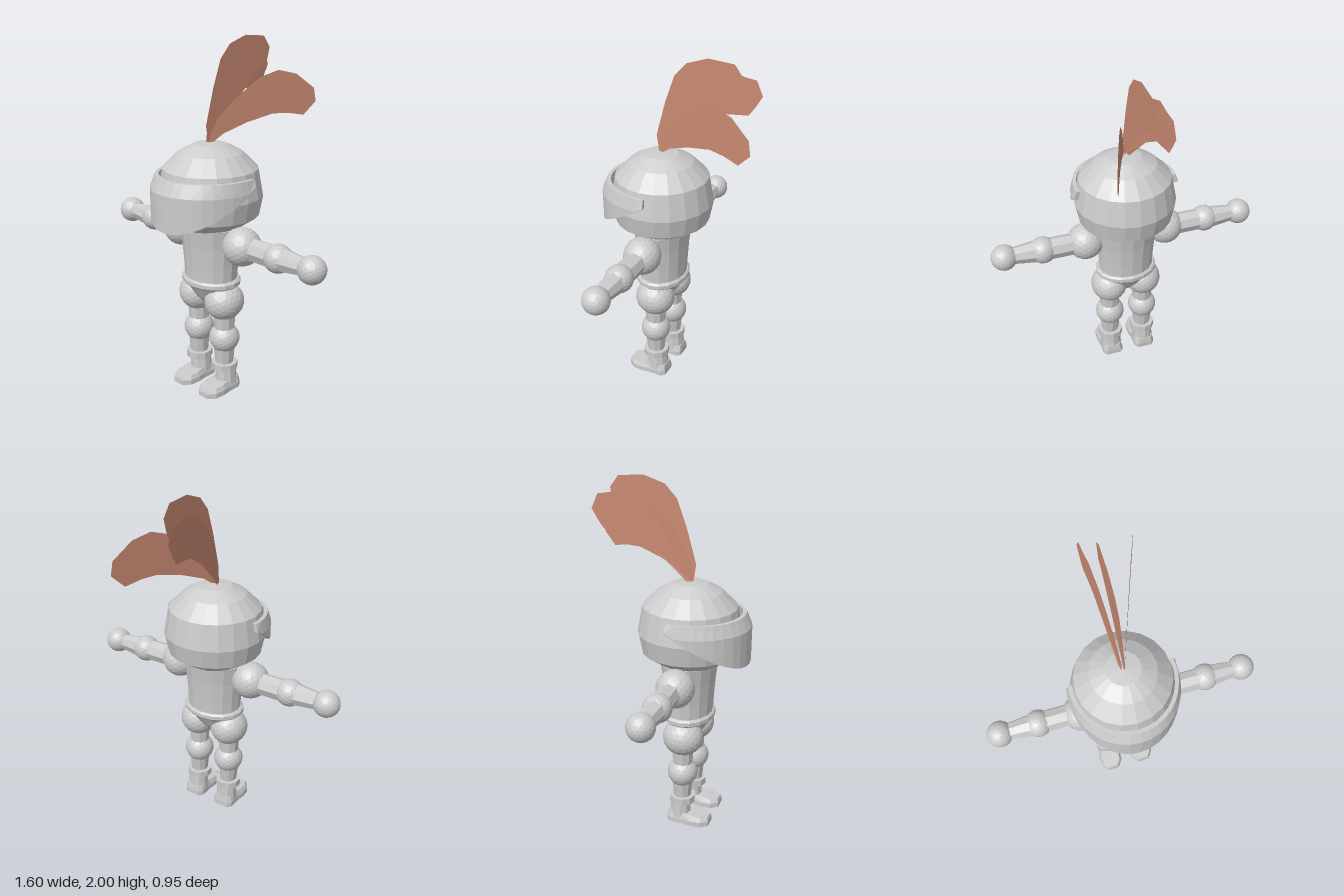
import * as THREE from 'three';

const steel = new THREE.MeshStandardMaterial({ color: 0xcccccc, flatShading: true });
const plumeMat = new THREE.MeshStandardMaterial({ color: 0xc98a72, flatShading: true, side: THREE.DoubleSide });
const CZ = 0.13; // body axis in z

export function createModel() {
  const model = new THREE.Group();

  const add = (name, geo, x = 0, y = 0, z = CZ, mat = steel) => {
    const mesh = new THREE.Mesh(geo, mat);
    mesh.name = name;
    mesh.position.set(x, y, z);
    model.add(mesh);
    return mesh;
  };
  const lathe = (pts, seg) => new THREE.LatheGeometry(pts.map(p => new THREE.Vector2(...p)), seg);
  const ball = (name, r, x, y, z = CZ) => add(name, new THREE.IcosahedronGeometry(r, 3), x, y, z);
  // upright tapered limb from y0 up to y1
  const limb = (name, r0, r1, y0, y1, x, z = CZ, seg = 10) =>
    add(name, new THREE.CylinderGeometry(r1, r0, y1 - y0, seg), x, (y0 + y1) / 2, z);

  // Helmet
  add('helmet', lathe([[0, 0.975], [0.165, 0.98], [0.27, 1.05], [0.292, 1.16], [0.265, 1.31],
    [0.18, 1.395], [0.095, 1.44], [0, 1.45]], 20));
  add('visor', visorGeometry(), 0, 0, 0);

  // Torso, belt and hips
  add('torso', lathe([[0, 0.66], [0.163, 0.66], [0.168, 0.76], [0.178, 0.88], [0.195, 0.99], [0, 0.99]], 16)).scale.z = 0.83;
  add('belt', lathe([[0, 0.64], [0.175, 0.64], [0.186, 0.65], [0.186, 0.672], [0.175, 0.682], [0, 0.682]], 16)).scale.z = 0.81;
  add('hips', lathe([[0, 0.5], [0.04, 0.5], [0.1, 0.56], [0.165, 0.65], [0, 0.65]], 16)).scale.z = 0.85;

  for (const s of [1, -1]) {
    const side = s > 0 ? 'left' : 'right';

    // Arm, stretched out sideways
    const ay = 0.91, az = 0.125;
    const armTube = (name, rIn, rOut, x0, x1) => {
      const m = limb(side + name, rIn, rOut, 0, x1 - x0, 0, az, 8);
      m.position.set(s * (x0 + x1) / 2, ay, az);
      m.rotation.z = -s * Math.PI / 2;
    };
    ball(side + 'Shoulder', 0.108, s * 0.245, ay);
    armTube('UpperArm', 0.064, 0.064, 0.28, 0.47);
    ball(side + 'Elbow', 0.079, s * 0.5, ay, az);
    armTube('Forearm', 0.066, 0.047, 0.53, 0.69);
    ball(side + 'Hand', 0.076, s * 0.724, ay, az);

    // Leg
    const lx = s * 0.107;
    ball(side + 'Thigh', 0.11, lx, 0.55).scale.z = 1.07;
    limb(side + 'UpperLeg', 0.058, 0.064, 0.36, 0.48, lx);
    ball(side + 'Knee', 0.088, lx, 0.322);
    limb(side + 'LowerLeg', 0.05, 0.064, 0.15, 0.28, lx);
    limb(side + 'Cuff', 0.077, 0.077, 0.13, 0.17, lx);
    limb(side + 'Ankle', 0.066, 0.058, 0.03, 0.14, lx, 0.118);
    add(side + 'Foot', footGeometry(), lx, 0, 0);
  }

  // Plume: three thin feathers given by (z, y) outlines, x following from z
  const feather = (name, outline, xOf) => {
    const geo = new THREE.ShapeGeometry(new THREE.Shape(outline.map(p => new THREE.Vector2(...p))));
    const pos = geo.attributes.position;
    for (let i = 0; i < pos.count; i++) {
      const z = pos.getX(i);
      pos.setXYZ(i, xOf(Math.max(0, 0.15 - z)), pos.getY(i), z);
    }
    geo.computeVertexNormals();
    add(name, geo, 0, 0, 0, plumeMat);
  };
  feather('middleFeather', [[0.145, 1.44], [0.16, 1.54], [0.105, 1.735], [0.05, 1.885], [-0.02, 1.96],
    [-0.14, 2.0], [-0.285, 1.99], [-0.335, 1.925], [-0.305, 1.82], [-0.25, 1.8], [-0.16, 1.73],
    [-0.01, 1.6], [0.1, 1.49], [0.13, 1.44]], () => 0);
  feather('rightFeather', [[0.145, 1.44], [0.14, 1.54], [0.07, 1.7], [-0.02, 1.82], [-0.12, 1.9],
    [-0.23, 1.935], [-0.31, 1.91], [-0.375, 1.9], [-0.41, 1.82], [-0.375, 1.76], [-0.34, 1.71],
    [-0.2, 1.7], [-0.08, 1.63], [0.04, 1.52], [0.12, 1.44]], d => -0.01 - 0.07 * (d / 0.56) ** 0.7);
  feather('leftFeather', [[0.145, 1.44], [0.13, 1.5], [0.095, 1.57], [0, 1.67], [-0.14, 1.78], [-0.25, 1.815],
    [-0.355, 1.79], [-0.465, 1.705], [-0.478, 1.63], [-0.405, 1.557], [-0.31, 1.575], [-0.22, 1.578],
    [-0.07, 1.54], [0.06, 1.49], [0.13, 1.44]], d => 0.365 * d);

  return model;
}

// Curved face guard: a five-sided section swept round the front of the helmet
function visorGeometry() {
  const n = 20, max = THREE.MathUtils.degToRad(98), pos = [], idx = [];
  for (let i = 0; i <= n; i++) {
    const a = max * (2 * i / n - 1), c = Math.cos(a);
    const bulge = Math.max(0, c) ** 2;
    const r = 0.308 + 0.037 * bulge, rTop = 0.294 + 0.018 * bulge;
    const low = Math.min(1.235, 1.01 + (0.345 - r * c) / 0.39 * 0.23);
    const mid = Math.max(1.215, low + 0.01);
    const section = [[rTop, 1.286], [r, mid], [r, low], [r - 0.025, low], [rTop - 0.022, 1.286]];
    for (const [q, y] of section) pos.push(q * Math.sin(a), y, CZ + q * c);
  }
  for (let i = 0; i < n; i++) for (let k = 0; k < 5; k++) {
    const l = (k + 1) % 5, A = i * 5 + k, B = i * 5 + l, C = A + 5, D = B + 5;
    idx.push(A, B, C, C, B, D);
  }
  for (let k = 1; k < 4; k++) idx.push(0, k + 1, k, n * 5, n * 5 + k, n * 5 + k + 1);
  const geo = new THREE.BufferGeometry();
  geo.setAttribute('position', new THREE.Float32BufferAttribute(pos, 3));
  geo.setIndex(idx);
  geo.computeVertexNormals();
  return geo;
}

// Shoe: sole outline extruded upward, its top drawn in and lowered toward the toe
function footGeometry() {
  const half = [[0.05, 0.045], [0.075, 0.064], [0.15, 0.064], [0.2, 0.072], [0.26, 0.068], [0.302, 0.036]];
  const pts = [...half.map(([z, w]) => [w, -z]), ...half.slice().reverse().map(([z, w]) => [-w, -z])];
  const geo = new THREE.ExtrudeGeometry(new THREE.Shape(pts.map(p => new THREE.Vector2(...p))),
    { depth: 0.06, steps: 2, bevelEnabled: false });
  geo.rotateX(-Math.PI / 2);
  const p = geo.attributes.position;
  for (let i = 0; i < p.count; i++) {
    if (p.getY(i) < 0.05) continue;
    const z = p.getZ(i);
    p.setXYZ(i, p.getX(i) * 0.82, z > 0.17 ? 0.06 - (z - 0.17) * 0.08 : 0.066, 0.16 + (z - 0.16) * 0.95);
  }
  geo.computeVertexNormals();
  return geo;
}
